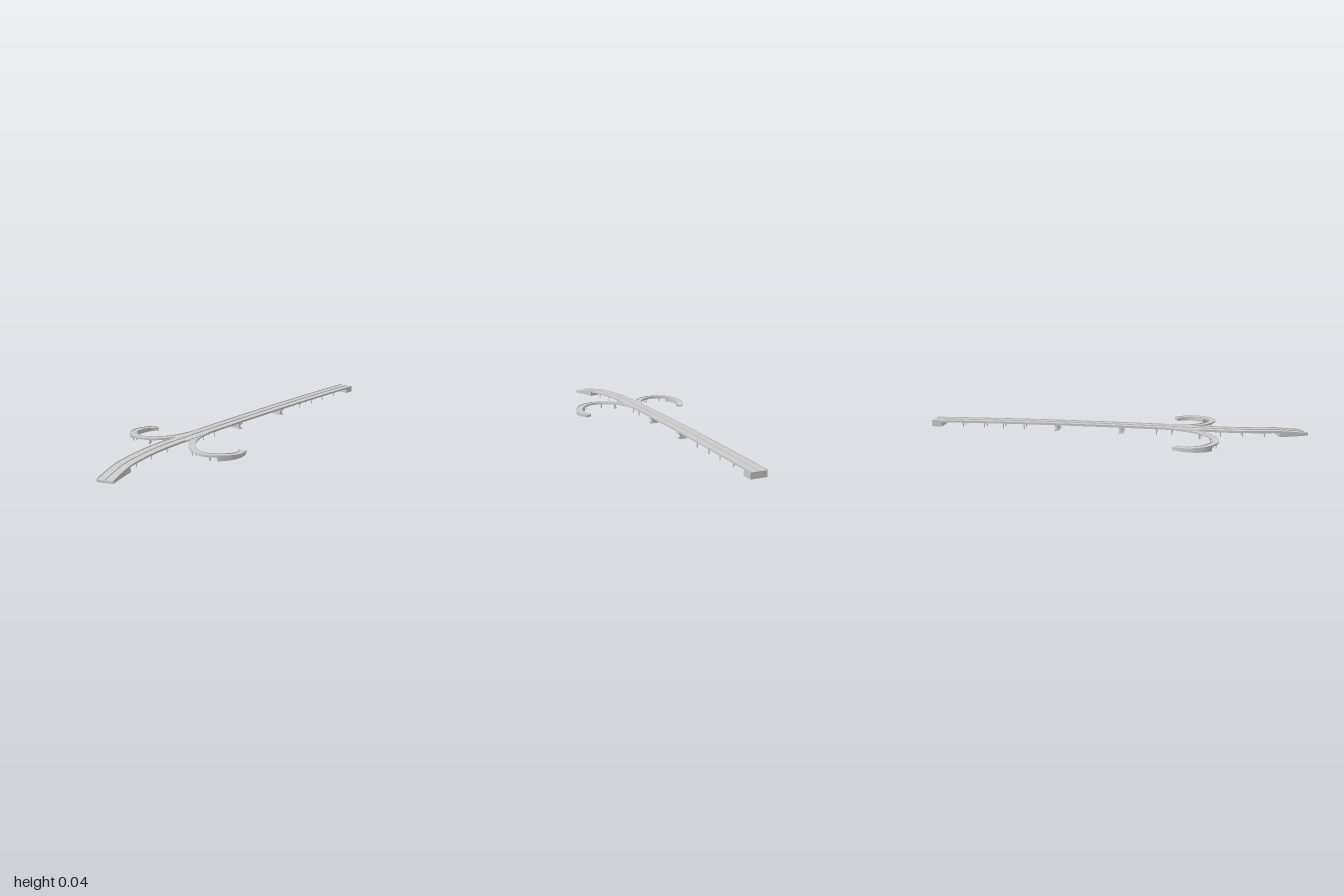
import * as THREE from 'three';

const grey = new THREE.MeshStandardMaterial({ color: 0xcccccc, side: THREE.DoubleSide });
const HALF = 0.04, RAMP = 0.017, ZC = -0.005;

// Rectangular section swept along frames; lo/hi are offsets from the road surface (lo null = ground)
function sweep(name, frames, a, b, lo, hi) {
  const rings = frames.map(f => {
    const p = (o, y) => [f.x + f.sx * o, y, f.z + f.sz * o];
    const low = lo === null ? 0 : f.y + lo;
    return [p(a, low), p(b, low), p(b, f.y + hi), p(a, f.y + hi)];
  });
  const pos = [];
  const quad = (p, q, r, s) => pos.push(...p, ...q, ...r, ...p, ...r, ...s);
  for (let i = 0; i < rings.length - 1; i++) {
    for (let k = 0; k < 4; k++) {
      const n = (k + 1) % 4;
      quad(rings[i][k], rings[i + 1][k], rings[i + 1][n], rings[i][n]);
    }
  }
  const end = rings[rings.length - 1];
  quad(...rings[0]);
  quad(end[3], end[2], end[1], end[0]);
  const g = new THREE.BufferGeometry();
  g.setAttribute('position', new THREE.Float32BufferAttribute(pos, 3));
  g.computeVertexNormals();
  const mesh = new THREE.Mesh(g, grey);
  mesh.name = name;
  return mesh;
}

// Main road: straight, then a gentle bend towards the front at the right-hand end
function mainFrame(x) {
  const R = 1.243, d = Math.max(0, -0.48 - x), s = d / R, c = Math.sqrt(1 - s * s);
  const crown = 0.03 + 0.01 * (1 - ((x - 0.1) / 0.9) ** 2);
  const y = x < -0.84 ? 0.029 - 0.018 * (-0.84 - x) / 0.144 : crown;
  return { x, y, z: ZC + R * (1 - c), sx: s, sz: c };
}
function mainSpan(x0, x1) {
  const n = Math.max(2, Math.ceil((x1 - x0) / 0.03));
  return Array.from({ length: n + 1 }, (_, i) => mainFrame(x0 + (x1 - x0) * i / n));
}

// Loop ramp: surface falls slowly, then faster on the solid approach
function rampFrames(points, n = 56) {
  const curve = new THREE.CatmullRomCurve3(points.map(([x, z]) => new THREE.Vector3(x, 0, z)));
  return Array.from({ length: n + 1 }, (_, i) => {
    const t = i / n, p = curve.getPointAt(t), d = curve.getTangentAt(t);
    const y = t < 0.7 ? 0.0375 - 0.0125 * t / 0.7 : 0.025 - 0.014 * (t - 0.7) / 0.3;
    return { x: p.x, y, z: p.z, sx: -d.z, sz: d.x };
  });
}

function box(w, h, d, x, y, z) {
  const m = new THREE.Mesh(new THREE.BoxGeometry(w, h, d), grey);
  m.position.set(x, y, z);
  return m;
}

// Two slim columns under a cross beam
function pier(name, f, spread, depth) {
  const g = new THREE.Group(), top = f.y - depth;
  g.name = name;
  g.add(box(0.006, 0.004, spread * 2 + 0.012, 0, top - 0.002, 0));
  for (const s of [-1, 1]) {
    const c = new THREE.Mesh(new THREE.CylinderGeometry(0.003, 0.003, top, 10), grey);
    c.position.set(0, top / 2, s * spread);
    g.add(c);
  }
  g.position.set(f.x, 0, f.z);
  g.rotation.y = Math.atan2(f.sx, f.sz);
  return g;
}

export function createModel() {
  const model = new THREE.Group();

  // Main deck with girders beneath
  model.add(sweep('mainDeck', mainSpan(-0.84, 0.945), -HALF, HALF, -0.004, 0));
  for (const o of [-0.03, -0.01, 0.01, 0.03]) {
    model.add(sweep('mainGirder', mainSpan(-0.84, 0.945), o - 0.004, o + 0.004, -0.009, -0.004));
  }

  // Solid abutments at both ends
  model.add(sweep('rightAbutment', mainSpan(-0.984, -0.84), -HALF, HALF, null, 0));
  model.add(sweep('leftAbutment', mainSpan(0.945, 1), -HALF, HALF, null, 0));

  // Parapets, broken where the ramps merge, and the median barrier
  for (const s of [-1, 1]) {
    const o = s * (HALF - 0.0015);
    for (const [x0, x1] of [[-0.984, -0.44], [-0.26, 1]]) {
      model.add(sweep('mainParapet', mainSpan(x0, x1), o - 0.0015, o + 0.0015, -0.001, 0.004));
    }
  }
  model.add(sweep('medianBarrier', mainSpan(-0.984, 1), -0.001, 0.001, -0.001, 0.004));

  // Approach piers
  for (const x of [-0.77, -0.66, -0.55, -0.3, -0.22, 0.49, 0.605, 0.71, 0.83]) {
    model.add(pier('approachPier', mainFrame(x), 0.022, 0.009));
  }

  // Heavy piers of the central span: footing, wall and cap
  for (const x of [-0.035, 0.31]) {
    const g = new THREE.Group(), top = mainFrame(x).y - 0.009;
    g.name = 'centralPier';
    g.add(box(0.022, 0.005, 0.074, 0, 0.0025, 0));
    g.add(box(0.014, top, 0.056, 0, top / 2, 0));
    g.add(box(0.024, 0.006, 0.074, 0, top - 0.003, 0));
    g.position.set(x, 0, ZC);
    model.add(g);
  }

  // Loop ramps on either side; inner is the sign of the loop's inner edge
  const ramps = [
    { name: 'backRamp', inner: 1, points: [[-0.26, -0.025], [-0.35, -0.038], [-0.43, -0.068], [-0.485, -0.11],
      [-0.52, -0.165], [-0.529, -0.215], [-0.515, -0.26], [-0.475, -0.3], [-0.42, -0.314], [-0.37, -0.306], [-0.33, -0.284]] },
    { name: 'frontRamp', inner: -1, points: [[-0.26, 0.015], [-0.34, 0.028], [-0.4, 0.05], [-0.45, 0.087],
      [-0.49, 0.142], [-0.503, 0.2], [-0.477, 0.253], [-0.42, 0.295], [-0.375, 0.308], [-0.34, 0.302], [-0.302, 0.282]] },
  ];
  for (const { name, inner, points } of ramps) {
    const g = new THREE.Group(), frames = rampFrames(points), solid = 39;
    g.name = name;
    const raised = frames.slice(0, solid + 1);
    g.add(sweep('rampDeck', raised, -RAMP, RAMP, -0.004, 0));
    for (const o of [-0.008, 0.008]) {
      g.add(sweep('rampGirder', raised, o - 0.003, o + 0.003, -0.008, -0.004));
    }
    g.add(sweep('rampAbutment', frames.slice(solid), -RAMP, RAMP, null, 0));

    // The outer parapet starts where the ramp has cleared the main deck
    const clear = frames.findIndex(f => Math.abs(f.z - ZC) > HALF + 0.014);
    for (const s of [-1, 1]) {
      const o = s * (RAMP - 0.001);
      const run = s === inner ? frames : frames.slice(clear);
      g.add(sweep('rampParapet', run, o - 0.001, o + 0.001, -0.001, 0.004));
    }
    for (const z of [0.075, 0.14, 0.235]) {
      g.add(pier('rampPier', frames.find(f => Math.abs(f.z) >= z), 0.008, 0.008));
    }
    model.add(g);
  }
  return model;
}
